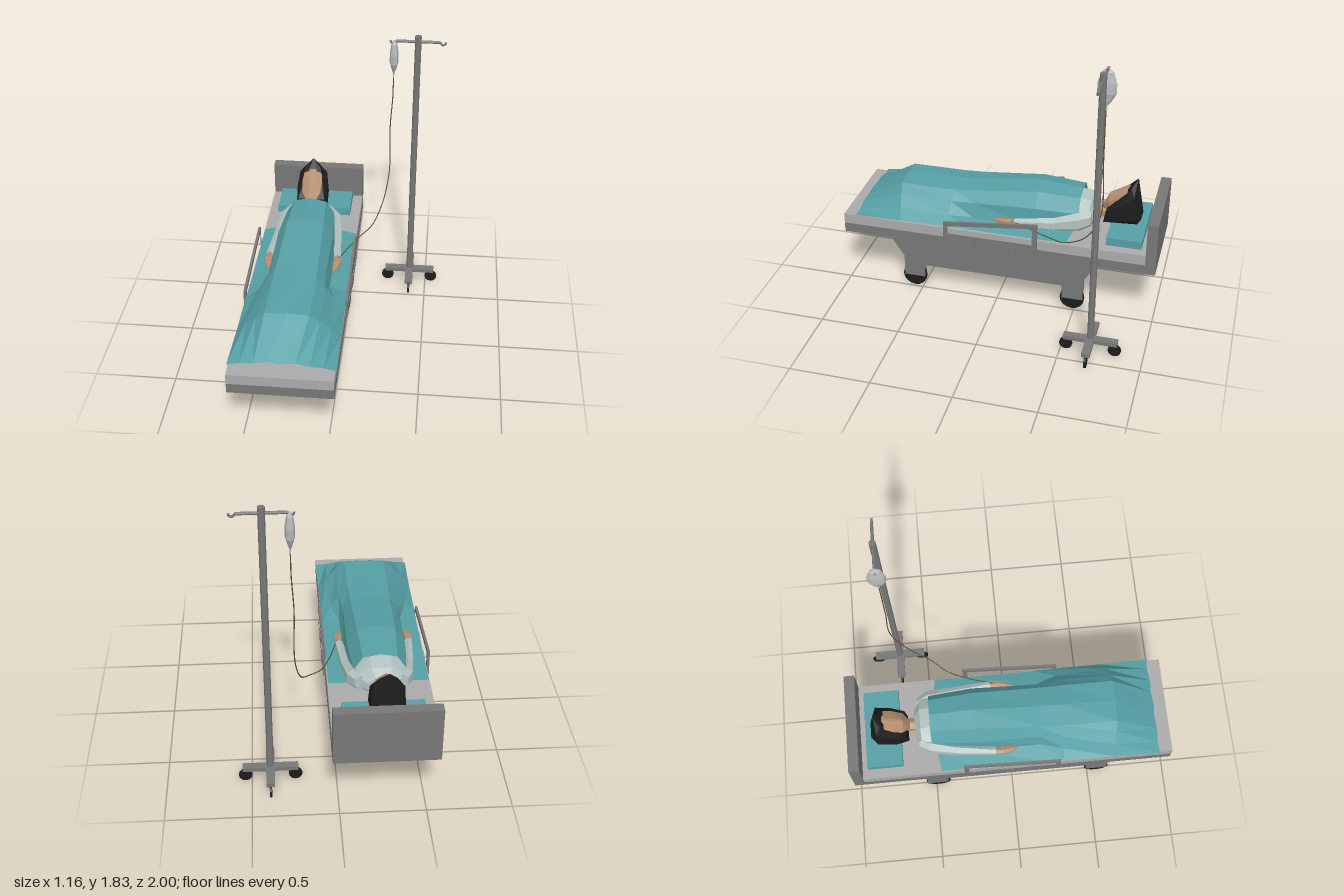
import * as THREE from 'three';
import { ConvexGeometry } from 'three/addons/geometries/ConvexGeometry.js';

const BED_X = -0.265; // centre line of the bed

const mat = (color, side = THREE.FrontSide) =>
  new THREE.MeshStandardMaterial({ color, flatShading: true, side });
const metal = mat(0x777777);
const mattressGrey = mat(0xaaaaaa);
const teal = mat(0x559fa4);
const tealCloth = mat(0x559fa4, THREE.DoubleSide);
const gownCloth = mat(0xb2c2c0);
const skin = mat(0xb58d6e);
const black = mat(0x1c1c1c);
const bagGrey = mat(0xb8bcbc);
const tubeOlive = mat(0x55522a);

function add(parent, name, geometry, material, x = 0, y = 0, z = 0) {
  const mesh = new THREE.Mesh(geometry, material);
  mesh.name = name;
  mesh.position.set(x, y, z);
  parent.add(mesh);
  return mesh;
}

// Box given by its limits on each axis
function box(parent, name, material, [x0, x1], [y0, y1], [z0, z1]) {
  return add(parent, name, new THREE.BoxGeometry(x1 - x0, y1 - y0, z1 - z0), material,
    (x0 + x1) / 2, (y0 + y1) / 2, (z0 + z1) / 2);
}

// Skin over cross-sections ordered along +z, each running counter-clockwise
function loft(sections, closed) {
  const n = sections[0].length, pos = sections.flat(2), index = [];
  for (let i = 0; i < sections.length - 1; i++) {
    for (let j = 0; j < (closed ? n : n - 1); j++) {
      const k = (j + 1) % n, a = i * n + j, b = i * n + k;
      index.push(a, b, b + n, a, b + n, a + n);
    }
  }
  if (closed) {
    const e = (sections.length - 1) * n;
    for (let j = 1; j < n - 1; j++) index.push(0, j + 1, j, e, e + j, e + j + 1);
  }
  const g = new THREE.BufferGeometry();
  g.setAttribute('position', new THREE.Float32BufferAttribute(pos, 3));
  g.setIndex(index);
  g.computeVertexNormals();
  return g;
}

// Elliptical limb from rows of [x, y, z, radiusX, radiusY]
const limb = (rows, sides = 6) => loft(rows.map(([x, y, z, rx, ry]) =>
  Array.from({ length: sides }, (_, i) => {
    const t = (i + 0.5) / sides * Math.PI * 2;
    return [x + rx * Math.cos(t), y + ry * Math.sin(t), z];
  })), true);

// Side outline given as [z, y], extruded to a thickness along x
function sidePlate(outline, thickness, hole) {
  const toPoints = pts => pts.map(([z, y]) => new THREE.Vector2(-z, y));
  const shape = new THREE.Shape(toPoints(outline));
  if (hole) shape.holes.push(new THREE.Path(toPoints(hole)));
  return new THREE.ExtrudeGeometry(shape, { depth: thickness, bevelEnabled: false })
    .translate(0, 0, -thickness / 2).rotateY(Math.PI / 2);
}

function buildBed() {
  const bed = new THREE.Group();
  bed.name = 'bed';
  const width = [-0.57, 0.04];
  box(bed, 'bedBase', metal, width, [0.375, 0.438], [-0.935, 1]);
  box(bed, 'mattress', mattressGrey, width, [0.438, 0.503], [-0.935, 1]);
  box(bed, 'headboard', metal, width, [0.375, 0.72], [-1, -0.935]);
  box(bed, 'pillow', teal, [-0.51, -0.025], [0.503, 0.555], [-0.9, -0.68]);

  for (const s of [-1, 1]) {
    // Undercarriage with wheel forks
    const legX = BED_X + s * 0.242;
    add(bed, 'legBeam', sidePlate(
      [[0.71, 0.375], [0.62, 0.235], [-0.555, 0.235], [-0.645, 0.375]], 0.064), metal, legX);
    box(bed, 'lowerBar', metal, [legX - 0.02, legX + 0.02], [0.17, 0.235], [-0.555, 0.62]);
    for (const [z0, z1, wheelZ] of [[0.485, 0.62, 0.555], [-0.555, -0.42, -0.485]]) {
      for (const f of [-1, 1])
        box(bed, 'wheelFork', metal, [legX + f * 0.016 - 0.004, legX + f * 0.016 + 0.004], [0.08, 0.17], [z0, z1]);
      add(bed, 'bedWheel', new THREE.CylinderGeometry(0.078, 0.078, 0.02, 16).rotateZ(Math.PI / 2),
        black, legX, 0.08, wheelZ);
    }

    // Slanted side rail with two brackets
    const rail = new THREE.Group();
    rail.name = 'sideRail';
    rail.position.set(BED_X + s * 0.312, 0, s < 0 ? -0.04 : 0);
    add(rail, 'railFrame', sidePlate(
      [[0.335, 0.44], [0.335, 0.553], [-0.265, 0.622], [-0.265, 0.44]], 0.015,
      [[0.305, 0.475], [0.305, 0.528], [-0.235, 0.592], [-0.235, 0.475]]), metal);
    for (const z of [0.165, -0.05])
      box(rail, 'railBracket', metal, [-0.007, 0.007], [0.4, 0.45], [z - 0.038, z + 0.038]);
    bed.add(rail);
  }
  return bed;
}

// Blanket draped over the body: half profiles [halfWidth, y], edge to middle
function buildBlanket() {
  const rows = [
    [-0.49, [[0.3, 0.515], [0.17, 0.53], [0.155, 0.64], [0.1, 0.725], [0, 0.745]]],
    [-0.22, [[0.3, 0.513], [0.19, 0.53], [0.175, 0.65], [0.115, 0.74], [0, 0.765]]],
    [0.18, [[0.3, 0.513], [0.195, 0.54], [0.17, 0.63], [0.125, 0.695], [0, 0.712]]],
    [0.32, [[0.304, 0.515], [0.24, 0.56], [0.185, 0.63], [0.13, 0.685], [0, 0.706]]],
    [0.66, [[0.305, 0.513], [0.25, 0.58], [0.185, 0.64], [0.13, 0.685], [0, 0.692]]],
    [0.92, [[0.312, 0.51], [0.24, 0.52], [0.16, 0.53], [0.08, 0.54], [0, 0.535]]],
  ];
  const sections = rows.map(([z, half], i) => {
    // The side flaps start lower than the chest; the feet end is slightly wavy
    const zAt = j => z + (i === 0 && j < 2 ? 0.045 - 0.02 * j : 0)
      + (i === 4 && j < 3 ? -0.04 + 0.015 * j : 0) - (i === 5 ? 0.008 * (j % 2) : 0);
    const right = half.map(([w, y], j) => [BED_X + w, y, zAt(j)]);
    const left = half.slice(0, -1).map(([w, y], j) => [BED_X - w, y, zAt(j)]).reverse();
    return [...right, ...left];
  });
  return loft(sections, false);
}

function buildPatient() {
  const p = new THREE.Group();
  p.name = 'patient';
  p.position.x = -0.27;
  add(p, 'gownTorso', limb([
    [0, 0.585, -0.585, 0.09, 0.06], [0, 0.605, -0.55, 0.16, 0.095],
    [0, 0.61, -0.46, 0.155, 0.11], [0, 0.61, 0.1, 0.14, 0.09]], 8), gownCloth);
  add(p, 'neck', limb([[0, 0.595, -0.68, 0.04, 0.04], [0, 0.59, -0.57, 0.042, 0.042]]), skin);

  for (const s of [-1, 1]) {
    const x0 = s < 0 ? 0 : 0.01;
    add(p, 'sleeve', limb([
      [s * 0.125, 0.6, -0.565, 0.035, 0.05], [s * 0.15 + x0, 0.59, -0.5, 0.045, 0.065],
      [s * 0.18 + x0, 0.565, -0.34, 0.035, 0.045], [s * 0.21 + x0, 0.56, -0.1, 0.025, 0.025]]), gownCloth);
    add(p, 'hand', limb([
      [s * 0.21 + x0, 0.56, -0.12, 0.017, 0.015], [s * 0.212 + x0, 0.562, -0.05, 0.027, 0.015],
      [s * 0.205 + x0, 0.556, 0, 0.02, 0.012], [s * 0.198 + x0, 0.55, 0.04, 0.006, 0.006]]), skin);
    add(p, 'leg', limb([
      [s * 0.07, 0.59, 0.05, 0.06, 0.06], [s * 0.07, 0.56, 0.35, 0.045, 0.045],
      [s * 0.07, 0.55, 0.62, 0.03, 0.035]]), skin);
  }

  // Face looking up, framed by hair that rises to a point at the crown
  const mirrored = pts => pts.flatMap(([x, y, z]) => [-1, 1].map(s => new THREE.Vector3(s * x, y, z)));
  add(p, 'face', new ConvexGeometry(mirrored([
    [0.055, 0.785, -0.79], [0.066, 0.735, -0.72], [0.06, 0.69, -0.655], [0.025, 0.635, -0.615],
    [0.02, 0.6, -0.635], [0.06, 0.6, -0.7], [0.006, 0.727, -0.655], [0.005, 0.797, -0.775]])), skin, -0.012);
  add(p, 'hair', new ConvexGeometry(mirrored([
    [0.002, 0.85, -0.825], [0.05, 0.795, -0.79], [0.09, 0.755, -0.815], [0.1, 0.69, -0.73],
    [0.088, 0.64, -0.645], [0.08, 0.555, -0.63], [0.104, 0.58, -0.7], [0.1, 0.6, -0.82],
    [0.05, 0.59, -0.862], [0.06, 0.557, -0.84]])), black, -0.012);
  return p;
}

function buildDripStand() {
  const stand = new THREE.Group();
  stand.name = 'dripStand';
  stand.position.set(0.39, 0, -0.68);
  add(stand, 'pole', new THREE.CylinderGeometry(0.02, 0.02, 1.74, 8), metal, 0, 0.96, 0);
  box(stand, 'baseBarAcross', metal, [-0.165, 0.165], [0.08, 0.105], [-0.025, 0.025]);
  box(stand, 'baseBarAlong', metal, [-0.025, 0.025], [0.08, 0.105], [-0.165, 0.165]);
  for (let i = 0; i < 4; i++) {
    const arm = new THREE.Group();
    arm.name = 'caster';
    arm.rotation.y = i * Math.PI / 2;
    add(arm, 'casterWheel', new THREE.CylinderGeometry(0.04, 0.04, 0.014, 12).rotateX(Math.PI / 2),
      black, 0.148, 0.04, 0);
    stand.add(arm);
  }

  // Cross arm with an upturned hook at each end
  add(stand, 'hookArm', new THREE.CylinderGeometry(0.009, 0.009, 0.27, 6).rotateZ(Math.PI / 2), metal, 0, 1.793, 0);
  for (const s of [-1, 1]) {
    const path = new THREE.CatmullRomCurve3([[0.12, 1.793], [0.136, 1.79], [0.145, 1.778], [0.157, 1.777], [0.167, 1.785], [0.169, 1.798]]
      .map(([x, y]) => new THREE.Vector3(s * x, y, 0)));
    add(stand, 'hook', new THREE.TubeGeometry(path, 10, 0.007, 6), metal);
  }

  // Flattened fluid bag
  const profile = [[0, 1.545], [0.006, 1.545], [0.008, 1.575], [0.03, 1.605], [0.054, 1.65], [0.054, 1.71], [0.035, 1.775], [0.015, 1.792], [0, 1.792]]
    .map(([r, y]) => new THREE.Vector2(r, y));
  add(stand, 'fluidBag', new THREE.LatheGeometry(profile, 8).scale(0.5, 1, 1), bagGrey, -0.145, 0, 0);
  return stand;
}

export function createModel() {
  const model = new THREE.Group();
  model.name = 'hospitalBedWithPatient';
  model.add(buildBed(), buildPatient(), buildDripStand());
  add(model, 'blanket', buildBlanket(), tealCloth);

  // Drip line from the bag to the hand
  const line = new THREE.CatmullRomCurve3([
    [0.245, 1.55, -0.68], [0.243, 1.4, -0.68], [0.232, 1.2, -0.68], [0.233, 0.86, -0.68],
    [0.2, 0.68, -0.59], [0.14, 0.585, -0.45], [0.07, 0.555, -0.36], [0.01, 0.555, -0.23], [-0.04, 0.57, -0.08],
  ].map(v => new THREE.Vector3(...v)));
  add(model, 'dripLine', new THREE.TubeGeometry(line, 48, 0.0035, 5), tubeOlive);
  return model;
}
